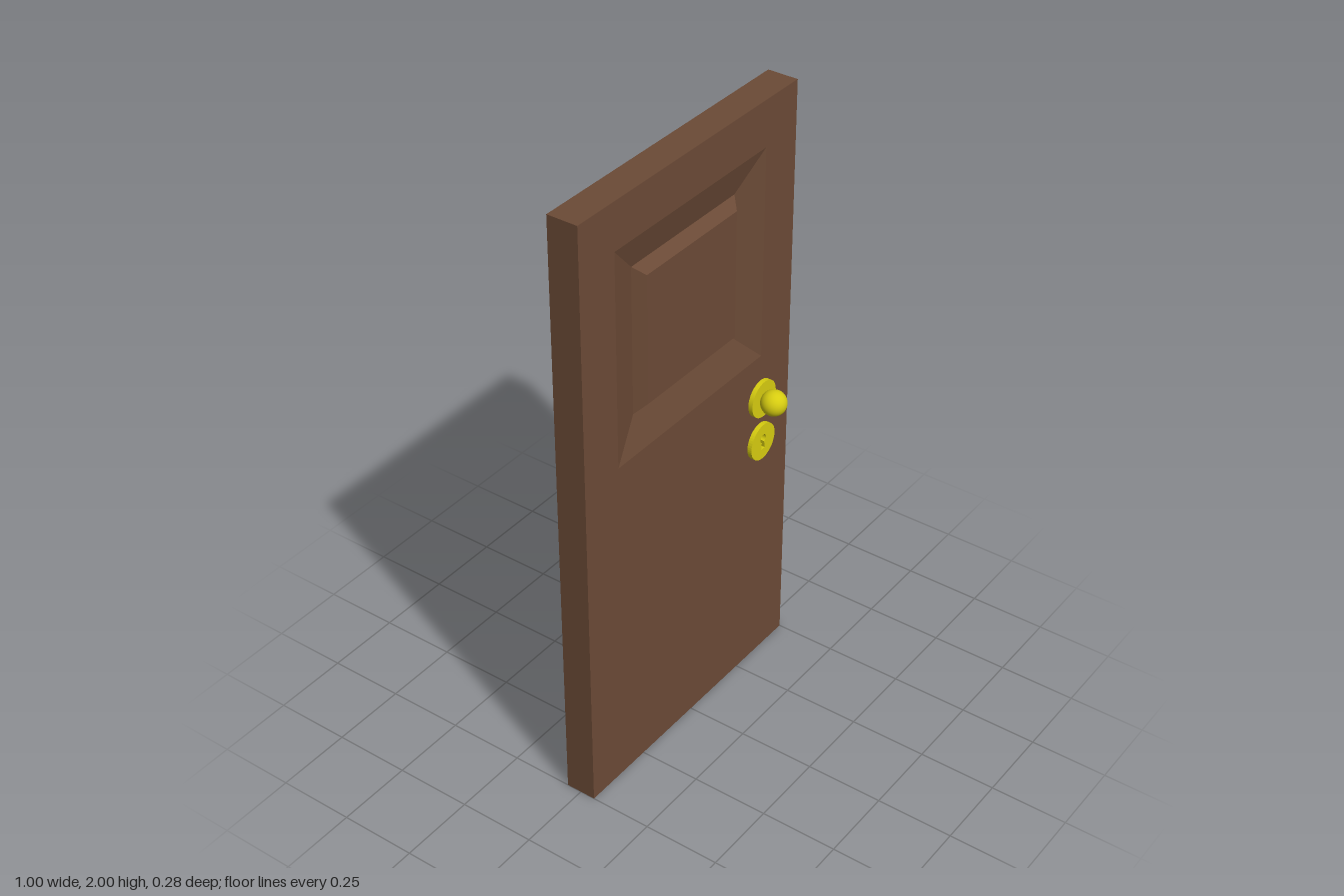
import * as THREE from 'three';

const HANDLE_X = 0.35, KNOB_Y = 1.0, LOCK_Y = 0.842, PANEL_Y = 1.5, FACE_Z = 0.05;

const wood = new THREE.MeshStandardMaterial({ color: 0x6b4a36 });
const brass = new THREE.MeshStandardMaterial({ color: 0xd6cc10 });

function addMesh(parent, name, geometry, material) {
  const mesh = new THREE.Mesh(geometry, material);
  mesh.name = name;
  parent.add(mesh);
  return mesh;
}

// Square outline, or hole, centred on (0, y)
function squarePath(half, y) {
  return new THREE.Path([[-1, -1], [1, -1], [1, 1], [-1, 1]]
    .map(([sx, sy]) => new THREE.Vector2(sx * half, y + sy * half)));
}

// Round top with a flared slot below
function keyholePath(x, y) {
  const path = new THREE.Path();
  path.moveTo(x - 0.009, y - 0.026);
  path.lineTo(x + 0.009, y - 0.026);
  path.lineTo(x + 0.006, y - 0.002);
  path.absarc(x, y + 0.011, 0.0145, -1.11, Math.PI + 1.11, false);
  path.closePath();
  return path;
}

// Nested square rings [half size, z], closed by the last square
function panelGeometry(rings) {
  const corners = [[-1, -1], [1, -1], [1, 1], [-1, 1]];
  const point = ([half, z], i) => [corners[i % 4][0] * half, corners[i % 4][1] * half, z];
  const positions = [];
  const quad = (a, b, c, d) => positions.push(...a, ...b, ...c, ...a, ...c, ...d);
  for (let r = 0; r < rings.length - 1; r++) {
    for (let i = 0; i < 4; i++) {
      quad(point(rings[r], i), point(rings[r], i + 1), point(rings[r + 1], i + 1), point(rings[r + 1], i));
    }
  }
  const last = rings[rings.length - 1];
  quad(point(last, 0), point(last, 1), point(last, 2), point(last, 3));
  const geometry = new THREE.BufferGeometry();
  geometry.setAttribute('position', new THREE.Float32BufferAttribute(positions, 3));
  geometry.computeVertexNormals();
  return geometry;
}

export function createModel() {
  const door = new THREE.Group();
  door.name = 'door';

  // Slab, open at the panel and pierced by the keyhole
  const outline = new THREE.Shape([[-0.5, 0], [0.5, 0], [0.5, 2], [-0.5, 2]]
    .map(([x, y]) => new THREE.Vector2(x, y)));
  outline.holes.push(squarePath(0.35, PANEL_Y), keyholePath(HANDLE_X, LOCK_Y));
  const slab = new THREE.ExtrudeGeometry(outline, { depth: 2 * FACE_Z, bevelEnabled: false, curveSegments: 24 });
  slab.translate(0, 0, -FACE_Z);
  addMesh(door, 'slab', slab, wood);

  // Lock plate with its keyhole
  const plateShape = new THREE.Shape();
  plateShape.absarc(0, 0, 0.062, 0, Math.PI * 2, false);
  plateShape.holes.push(keyholePath(0, 0));
  const plateGeometry = new THREE.ExtrudeGeometry(plateShape, { depth: 0.015, bevelEnabled: false, curveSegments: 24 });

  for (const side of [1, -1]) {
    const face = new THREE.Group();
    face.name = side > 0 ? 'frontFittings' : 'backFittings';
    if (side < 0) face.rotation.y = Math.PI;
    door.add(face);

    // Sloped recess around a raised field
    addMesh(face, 'panel', panelGeometry([[0.35, FACE_Z], [0.24, 0.02], [0.21, FACE_Z]]), wood)
      .position.y = PANEL_Y;

    // Knob on its rose
    const knob = new THREE.Group();
    knob.name = 'knob';
    knob.position.set(side * HANDLE_X, KNOB_Y, 0);
    face.add(knob);
    const rose = addMesh(knob, 'rose', new THREE.CylinderGeometry(0.062, 0.062, 0.015, 48), brass);
    rose.rotation.x = Math.PI / 2;
    rose.position.z = FACE_Z + 0.0075;
    const stem = addMesh(knob, 'stem', new THREE.CylinderGeometry(0.02, 0.02, 0.045, 24), brass);
    stem.rotation.x = Math.PI / 2;
    stem.position.z = 0.075;
    addMesh(knob, 'ball', new THREE.SphereGeometry(0.0415, 32, 24), brass).position.z = 0.1;

    addMesh(face, 'lockPlate', plateGeometry, brass).position.set(side * HANDLE_X, LOCK_Y, FACE_Z);
  }

  return door;
}
